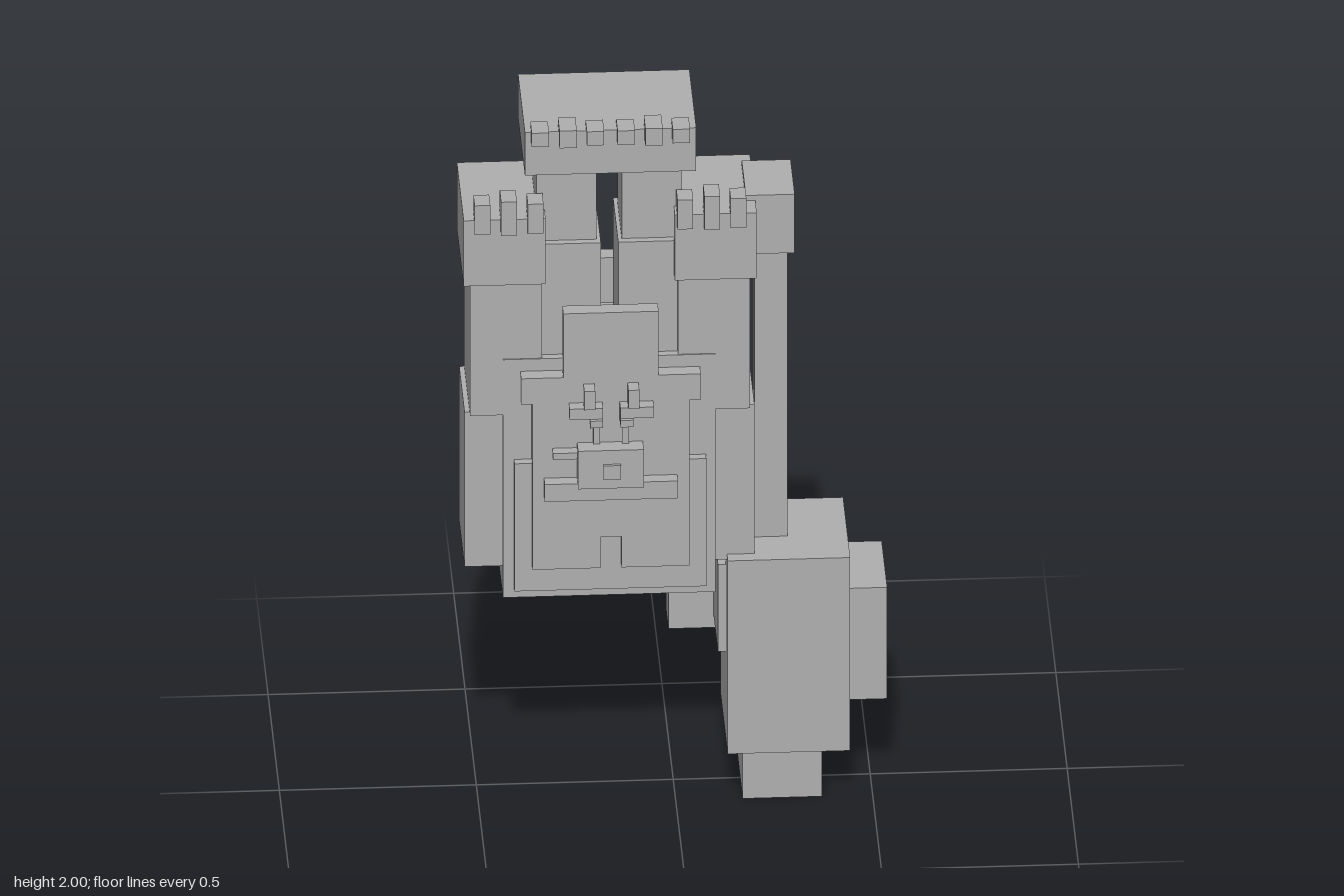
import * as THREE from 'three';

export function createModel() {
  const model = new THREE.Group();
  model.name = 'castleFigure';
  const grey = new THREE.MeshStandardMaterial({ color: 0xb0b0b0 });
  grey.name = 'stone grey';

  // box given by its limits along x, y and z
  const box = (name, x0, x1, y0, y1, z0, z1) => {
    const mesh = new THREE.Mesh(new THREE.BoxGeometry(x1 - x0, y1 - y0, z1 - z0), grey);
    mesh.position.set((x0 + x1) / 2, (y0 + y1) / 2, (z0 + z1) / 2);
    mesh.name = name;
    model.add(mesh);
  };

  // main body, back panels and lower front plate
  box('body', -0.44, 0.1, 0.615, 1.305, -0.15, 0.133);
  box('backPanel', -0.367, 0.028, 0.8, 1.21, -0.19, -0.15);
  box('backUpperPanel', -0.289, -0.047, 1.255, 1.435, -0.195, -0.15);
  box('frontLowerPlate', -0.412, 0.075, 0.645, 1.015, 0.13, 0.156);

  // stepped front plate with a notch at the bottom
  const mid = -0.168;
  const half = [[0.027, 0.805], [0.027, 0.715], [0.199, 0.715], [0.199, 1.195],
    [0.228, 1.195], [0.228, 1.27], [0.121, 1.27], [0.121, 1.455]];
  const outline = [
    ...half.map(([x, y]) => new THREE.Vector2(mid + x, y)),
    ...half.slice().reverse().map(([x, y]) => new THREE.Vector2(mid - x, y)),
  ];
  const plate = new THREE.Mesh(
    new THREE.ExtrudeGeometry(new THREE.Shape(outline), { depth: 0.042, bevelEnabled: false }), grey);
  plate.position.z = 0.13;
  plate.name = 'frontPlate';
  model.add(plate);

  // face details
  for (const s of [-1, 1]) {
    const part = (name, a, b, y0, y1, z1) =>
      box(name, mid + Math.min(s * a, s * b), mid + Math.max(s * a, s * b), y0, y1, 0.17, z1);
    part('brow', 0.022, 0.107, 1.165, 1.196, 0.205);
    part('browSpike', 0.042, 0.07, 1.196, 1.25, 0.212);
    part('eye', 0.022, 0.055, 1.145, 1.165, 0.215);
    part('cheekStem', 0.028, 0.045, 1.08, 1.145, 0.182);
  }
  box('snout', -0.254, -0.087, 0.97, 1.08, 0.17, 0.217);
  box('nose', -0.19, -0.145, 1.0, 1.04, 0.215, 0.225);
  box('sideWhisker', -0.317, -0.254, 1.048, 1.066, 0.17, 0.2);
  box('mouthBar', -0.338, 0.0, 0.93, 0.98, 0.17, 0.206);

  // side towers, each with a wider base, a cap and battlements
  for (const s of [-1, 1]) {
    const tower = (name, inner, outer, y0, y1, z0, z1) => {
      const a = mid + s * inner, b = mid + s * outer;
      box(name, Math.min(a, b), Math.max(a, b), y0, y1, z0, z1);
    };
    tower('towerBase', 0.17, 0.368, 0.695, 1.143, -0.13, 0.11);
    tower('towerShaft', 0.173, 0.355, 1.143, 1.525, -0.14, 0.13);
    tower('towerCap', 0.164, 0.372, 1.525, 1.715, -0.165, 0.14);
    tower('innerTower', 0.022, 0.176, 0.7, 1.625, -0.12, 0.112);
    tower('neck', 0.032, 0.185, 1.6, 1.855, -0.106, 0.093);
    [0.19, 0.258, 0.325].forEach((x, i) =>
      tower('towerBattlement', x - 0.02, x + 0.02, 1.68, i === 1 ? 1.777 : 1.765, 0.097, i === 1 ? 0.16 : 0.153));
  }

  // top slab with six battlements
  box('topSlab', -0.386, 0.049, 1.855, 1.98, -0.14, 0.164);
  [-0.348, -0.278, -0.208, -0.13, -0.06, 0.01].forEach((x, i) => {
    const tall = i % 3 === 1;
    box('topBattlement', x - 0.022, x + 0.022, 1.95, tall ? 2 : 1.99, 0.127, tall ? 0.198 : 0.188);
  });

  // hammer beside the body: pommel, shaft and head blocks
  box('pommel', 0.18, 0.304, 1.56, 1.73, -0.106, 0.076);
  box('hammerShaft', 0.205, 0.289, 0.71, 1.56, -0.042, 0.024);
  box('hammerHead', 0.13, 0.441, 0.15, 0.71, -0.17, 0.145);
  box('hammerFoot', 0.17, 0.372, 0, 0.15, -0.132, 0.11);
  box('hammerOuterBlock', 0.441, 0.537, 0.277, 0.6, -0.135, 0.108);
  box('hammerInnerBlock', 0.11, 0.13, 0.4, 0.653, -0.135, 0.06);
  box('hammerRearBlock', -0.005, 0.113, 0.365, 0.653, -0.224, -0.13);
  return model;
}
